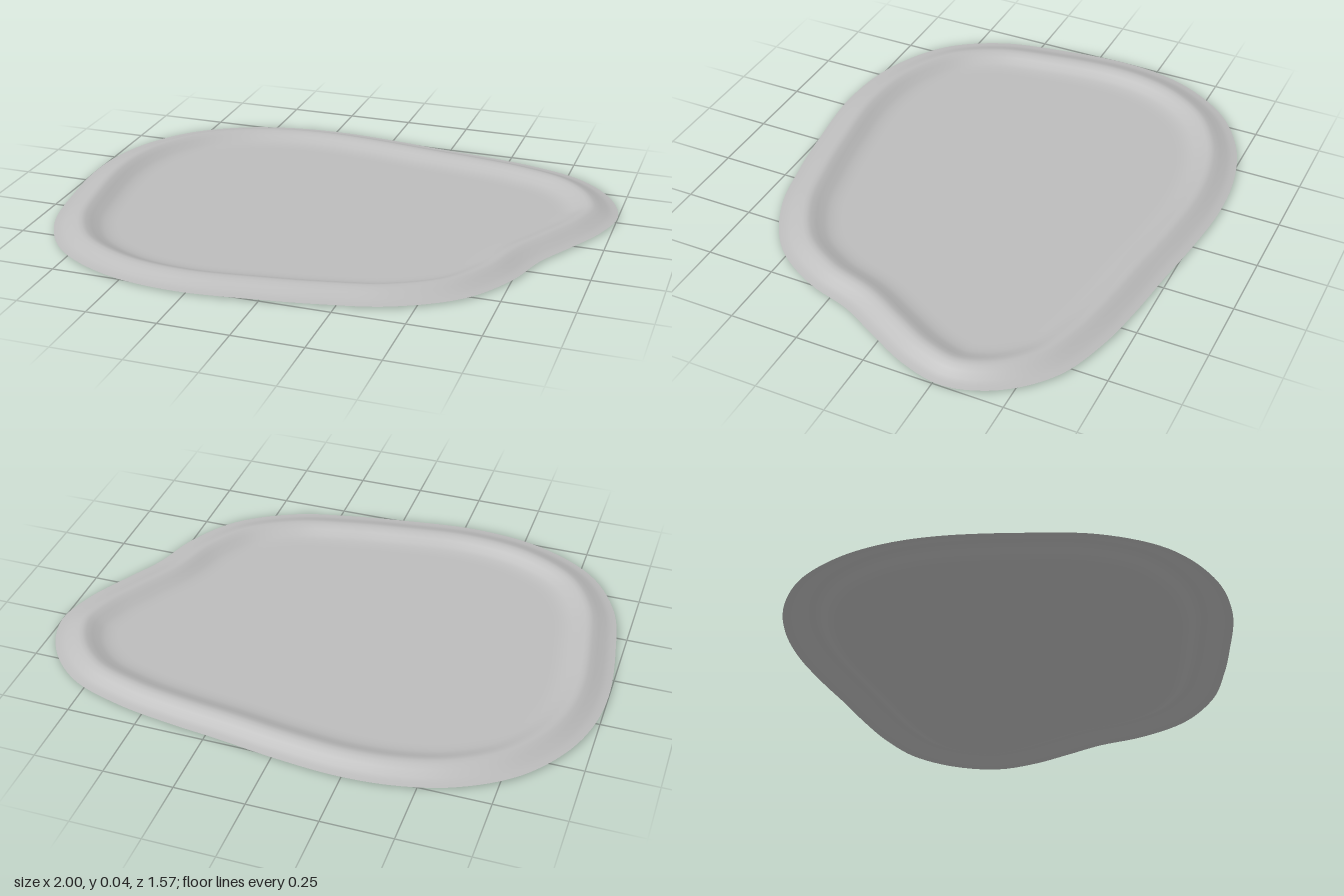
import * as THREE from 'three';

// Plan outline as x, z pairs, running left, back, right, front
const OUTLINE = [
  [-1, -0.1], [-0.98, -0.28], [-0.92, -0.44], [-0.8, -0.6], [-0.62, -0.715], [-0.43, -0.77],
  [-0.23, -0.785], [0, -0.766], [0.2, -0.737], [0.4, -0.712], [0.6, -0.675], [0.8, -0.6],
  [0.94, -0.46], [1, -0.29], [0.965, -0.13], [0.885, 0.03], [0.81, 0.17], [0.75, 0.35],
  [0.63, 0.53], [0.42, 0.66], [0.2, 0.717], [0, 0.75], [-0.3, 0.78], [-0.56, 0.74],
  [-0.79, 0.61], [-0.92, 0.41], [-0.975, 0.16],
];

// Rim cross-section: distance inward from the outline, height
const PROFILE = [
  [0, 0.005], [0.02, 0.007], [0.04, 0.013], [0.065, 0.024], [0.085, 0.032], [0.1, 0.035],
  [0.115, 0.032], [0.135, 0.023], [0.16, 0.01], [0.18, 0.004], [0.2, 0.001], [0.22, 0], [0.25, 0],
];

// Sweeps the profile around the outline and closes the floor
function dishGeometry(segments) {
  const curve = new THREE.CatmullRomCurve3(
    OUTLINE.map(([x, z]) => new THREE.Vector3(x, 0, z)), true, 'centripetal');
  const points = curve.getSpacedPoints(segments).slice(0, segments);
  const inward = points.map((_, i) => {
    const t = points[(i + 2) % segments].clone().sub(points[(i - 2 + segments) % segments]).normalize();
    return new THREE.Vector3(-t.z, 0, t.x);
  });
  const positions = [], index = [];
  for (const [inset, y] of PROFILE) {
    points.forEach((p, i) => positions.push(p.x + inward[i].x * inset, y, p.z + inward[i].z * inset));
  }
  const centre = positions.length / 3;
  positions.push(-0.1, 0, 0);
  PROFILE.forEach((_, r) => {
    for (let i = 0; i < segments; i++) {
      const j = (i + 1) % segments, a = r * segments, b = a + segments;
      if (r === PROFILE.length - 1) index.push(a + i, centre, a + j);
      else index.push(a + i, b + i, a + j, a + j, b + i, b + j);
    }
  });
  const geometry = new THREE.BufferGeometry();
  geometry.setAttribute('position', new THREE.Float32BufferAttribute(positions, 3));
  geometry.setIndex(index);
  geometry.computeVertexNormals();
  return geometry;
}

export function createModel() {
  const group = new THREE.Group();
  group.name = 'shallowDish';
  const grey = new THREE.MeshStandardMaterial({ color: 0xbcbcbc, side: THREE.DoubleSide });
  grey.name = 'lightGrey';
  const dish = new THREE.Mesh(dishGeometry(160), grey);
  dish.name = 'rimmedDish';
  group.add(dish);
  return group;
}
